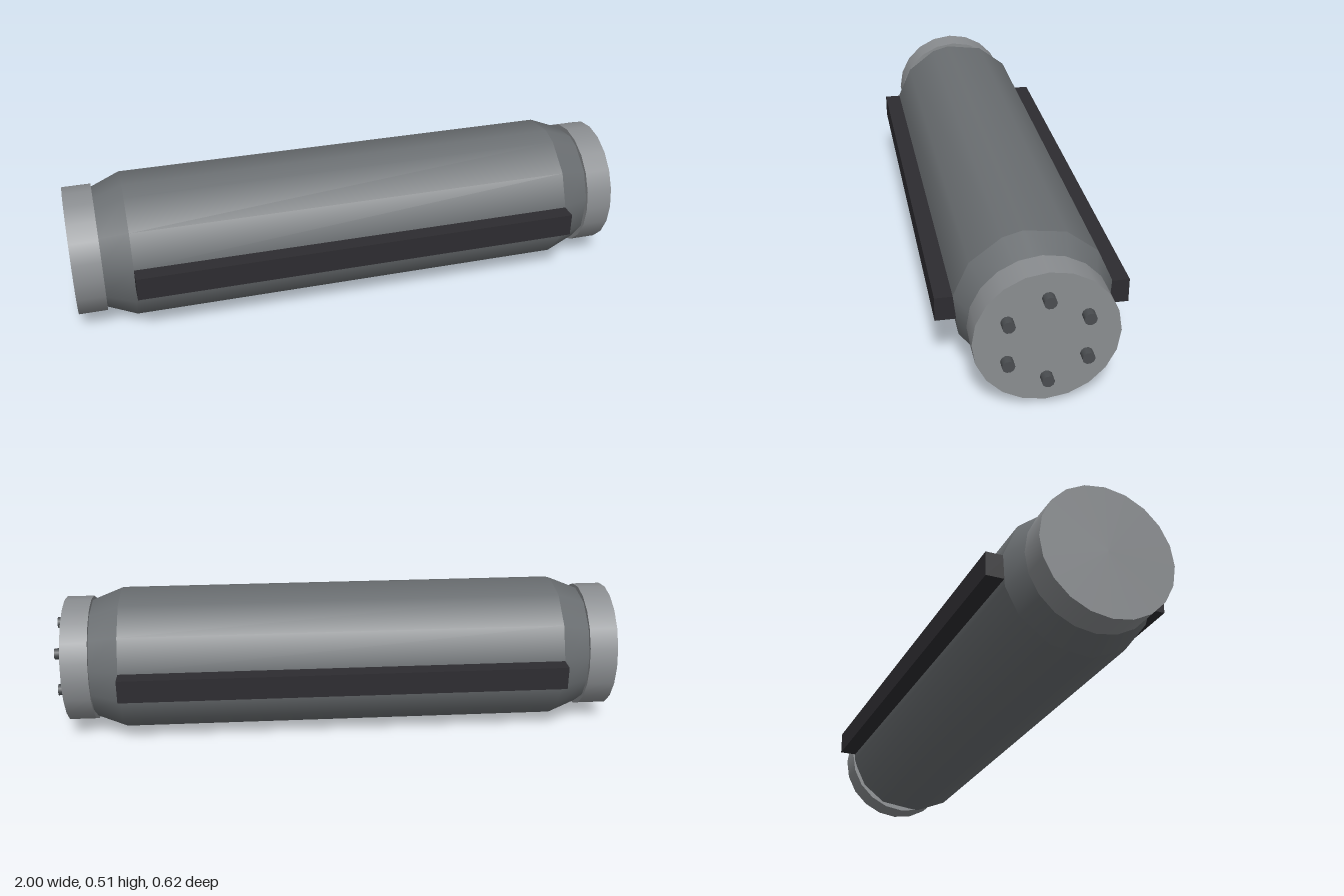
import * as THREE from 'three';

const AXIS_Y = 0.255;
const mat = (color) => new THREE.MeshStandardMaterial({ color });

// Corner angles of the faceted shell, in degrees from the top towards -z, descending
const CORNERS = [352, 337, 308, 280, 247, 217, 188, 157, 128, 105, 80, 52, 23, -8];

// One open shell section along x, with its rings moved to the uneven corner angles
function shellSection(x0, r0, x1, r1) {
  const geo = new THREE.LatheGeometry(
    [new THREE.Vector2(r0, x0), new THREE.Vector2(r1, x1)], CORNERS.length - 1);
  const pos = geo.attributes.position;
  const nor = geo.attributes.normal;
  for (let i = 0; i < pos.count; i++) {
    const phi = THREE.MathUtils.degToRad(-CORNERS[i >> 1] - 90);
    for (const attr of [pos, nor]) {
      const r = Math.hypot(attr.getX(i), attr.getZ(i));
      attr.setXYZ(i, r * Math.sin(phi), attr.getY(i), r * Math.cos(phi));
    }
  }
  return geo.rotateZ(-Math.PI / 2);
}

// Solid cylinder lying along x
function rod(x0, x1, r, sides) {
  return new THREE.CylinderGeometry(r, r, x1 - x0, sides)
    .rotateZ(-Math.PI / 2).translate((x0 + x1) / 2, 0, 0);
}

export function createModel() {
  const group = new THREE.Group();
  const shellMat = mat(0x6a6e71);
  const capMat = mat(0x8a8d90);
  const railMat = mat(0x2d2c30);
  const pinMat = mat(0x4a4d50);

  const add = (name, geo, material, y = 0, z = 0) => {
    const mesh = new THREE.Mesh(geo, material);
    mesh.name = name;
    mesh.position.set(0, AXIS_Y + y, z);
    group.add(mesh);
  };

  // Main shell with tapered shoulders
  add('rightShoulder', shellSection(-0.91, 0.21, -0.8, 0.255), shellMat);
  add('body', shellSection(-0.8, 0.255, 0.77, 0.255), shellMat);
  add('leftShoulder', shellSection(0.77, 0.255, 0.885, 0.21), shellMat);

  // End caps
  add('rightCap', rod(-1, -0.9, 0.226, 20), capMat);
  add('leftCap', rod(0.875, 0.97, 0.226, 20), capMat);

  // Rails along the front and back
  for (const s of [1, -1]) {
    add(s > 0 ? 'frontRail' : 'backRail',
      new THREE.BoxGeometry(1.57, 0.082, 0.075).translate(-0.015, 0, 0), railMat, 0, s * 0.271);
  }

  // Ring of contact pins on the left cap
  for (let i = 0; i < 6; i++) {
    const a = (i * Math.PI) / 3;
    add('pin', rod(0.96, 1, 0.02, 10), pinMat, 0.14 * Math.cos(a), 0.14 * Math.sin(a));
  }
  return group;
}
